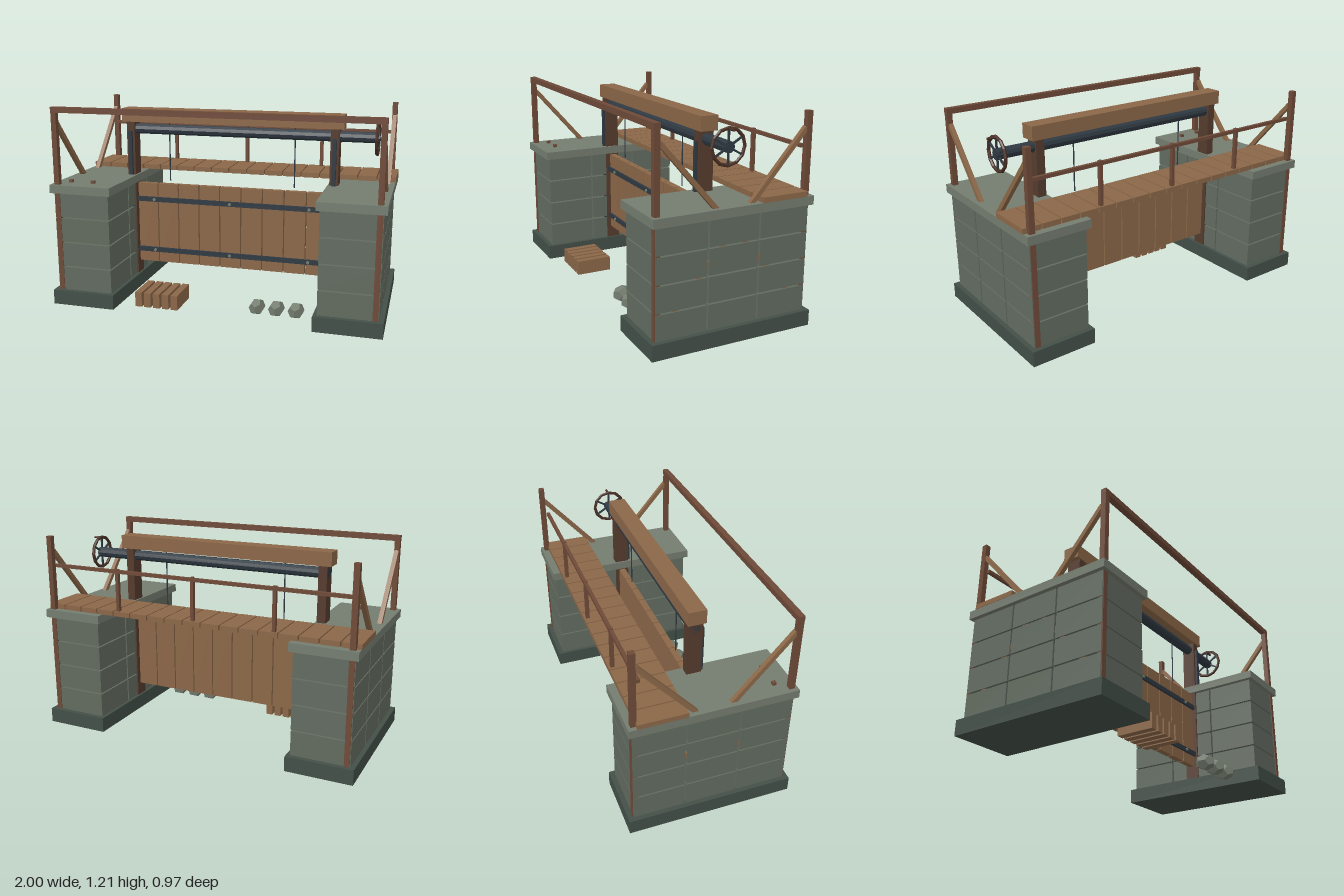
import * as THREE from 'three';

const mat = (color) => new THREE.MeshStandardMaterial({ color, flatShading: true });
const M = {
  wood: mat(0x8b6748), darkWood: mat(0x6e4a38), frameWood: mat(0x553b2d), rim: mat(0x4a3026),
  stone: mat(0x626b60), cap: mat(0x747c6f), base: mat(0x434f48), iron: mat(0x2f3942),
};

export function createModel() {
  const root = new THREE.Group();
  root.name = 'sluiceGate';

  const add = (name, geo, material, x = 0, y = 0, z = 0, parent = root) => {
    const m = new THREE.Mesh(geo, material);
    m.name = name;
    m.position.set(x, y, z);
    parent.add(m);
    return m;
  };
  // Box given by its minimum and maximum on each axis
  const box = (name, material, x0, x1, y0, y1, z0, z1, parent = root) =>
    add(name, new THREE.BoxGeometry(x1 - x0, y1 - y0, z1 - z0), material,
      (x0 + x1) / 2, (y0 + y1) / 2, (z0 + z1) / 2, parent);
  // Square bar between two points in a plane of constant x
  const bar = (name, material, x, [y0, z0], [y1, z1], t, parent = root) => {
    const m = add(name, new THREE.BoxGeometry(t, Math.hypot(y1 - y0, z1 - z0), t), material,
      x, (y0 + y1) / 2, (z0 + z1) / 2, parent);
    m.rotation.x = Math.atan2(z1 - z0, y1 - y0);
    return m;
  };

  // Stone piers with corner posts, braces and gate guides
  for (const s of [-1, 1]) {
    const pier = new THREE.Group();
    pier.name = s > 0 ? 'leftPier' : 'rightPier';
    root.add(pier);
    const sideBox = (name, material, a, b, ...rest) =>
      box(name, material, Math.min(s * a, s * b), Math.max(s * a, s * b), ...rest, pier);

    sideBox('pierBase', M.base, 0.605, 1, 0, 0.09, -0.485, 0.485);
    sideBox('pierCap', M.cap, 0.607, 0.993, 0.7, 0.75, -0.477, 0.477);
    for (let row = 0; row < 4; row++) {
      for (let col = -1; col <= 1; col++) {
        const y = 0.09 + row * 0.1535, z = col * 0.307;
        sideBox('stoneBlock', M.stone, 0.627, 0.973, y, y + 0.145, z - 0.148, z + 0.148);
      }
    }
    for (const f of [-1, 1]) {
      sideBox('cornerPost', M.darkWood, 0.937, 0.969, 0.05, 1.205,
        f > 0 ? 0.427 : -0.459, f > 0 ? 0.459 : -0.427);
      bar('brace', M.wood, s * 0.953, [1.117, f * 0.43], [0.2, -f * 0.372], 0.026, pier);
    }

    // Grooved guide post with iron strips
    sideBox('guidePost', M.frameWood, 0.618, 0.67, 0.05, 1.09, -0.042, 0.045);
    sideBox('guideStrip', M.iron, 0.632, 0.656, 0.09, 1.03, 0.045, 0.06);
  }

  // Front top rail
  box('topRail', M.darkWood, -0.97, 0.97, 1.18, 1.213, 0.425, 0.46);

  // Walkway planks and back railing
  const walkway = new THREE.Group();
  walkway.name = 'walkway';
  root.add(walkway);
  for (let i = 0; i < 17; i++) {
    const x = (i - 8) * 0.1175;
    box('deckPlank', M.wood, x - 0.055, x + 0.055, 0.75, 0.78, -0.432, -0.155, walkway);
  }
  box('handRail', M.darkWood, -0.95, 0.95, 1.01, 1.03, -0.421, -0.401, walkway);
  for (const x of [-0.5, 0, 0.5]) {
    box('railPost', M.darkWood, x - 0.01, x + 0.01, 0.78, 1.035, -0.421, -0.399, walkway);
  }

  // Plank gate with iron bands and bolts
  const gate = new THREE.Group();
  gate.name = 'gate';
  root.add(gate);
  for (let i = 0; i < 9; i++) {
    const x = (i - 4) * 0.137;
    box('gatePlank', M.wood, x - 0.065, x + 0.065, 0.172, 0.692, -0.02, 0.02, gate);
  }
  for (const y of [0.255, 0.59]) {
    box('gateBand', M.iron, -0.625, 0.625, y - 0.015, y + 0.015, 0.02, 0.034, gate);
    for (const x of [-0.5, 0, 0.5]) {
      const bolt = add('bolt', new THREE.CylinderGeometry(0.01, 0.01, 0.012, 8), M.cap, x, y, 0.036, gate);
      bolt.rotation.x = Math.PI / 2;
    }
  }

  // Head beam, winding axle and chains
  box('headBeam', M.wood, -0.697, 0.697, 1.087, 1.17, -0.052, 0.052);
  const axle = add('axle', new THREE.CylinderGeometry(0.032, 0.032, 1.57, 10), M.iron, 0.115, 1.04, 0);
  axle.rotation.z = Math.PI / 2;
  for (const x of [-0.4, 0.4]) {
    add('chain', new THREE.CylinderGeometry(0.004, 0.004, 0.375, 6), M.iron, x, 0.902, 0);
  }

  // Hand wheel
  const wheel = new THREE.Group();
  wheel.name = 'handWheel';
  wheel.position.set(0.888, 1.04, 0);
  root.add(wheel);
  add('wheelRim', new THREE.TorusGeometry(0.098, 0.01, 6, 12), M.rim, 0, 0, 0, wheel).rotation.y = Math.PI / 2;
  for (let i = 0; i < 3; i++) {
    const spoke = add('spoke', new THREE.BoxGeometry(0.01, 0.196, 0.01), M.iron, 0, 0, 0, wheel);
    spoke.rotation.x = (i * Math.PI) / 3;
  }
  const hub = add('hub', new THREE.CylinderGeometry(0.018, 0.018, 0.03, 8), M.iron, 0, 0, 0, wheel);
  hub.rotation.z = Math.PI / 2;
  const crank = add('crankHandle', new THREE.CylinderGeometry(0.008, 0.008, 0.055, 6), M.rim, 0.025, 0.094, 0, wheel);
  crank.rotation.z = Math.PI / 2;

  // Leaning tool handles sunk into the right pier
  for (const x of [-0.902, -0.76]) {
    bar('toolHandle', M.darkWood, x, [0.16, 0.422], [0.767, 0.367], 0.022);
  }

  // Spare boards and loose rocks in front
  for (let i = 0; i < 5; i++) {
    const x = -0.466 + i * 0.057;
    box('spareBoard', M.wood, x - 0.021, x + 0.021, 0.012, 0.102, 0.2, 0.42);
  }
  for (let i = 0; i < 3; i++) {
    const rock = add('rock', new THREE.DodecahedronGeometry(0.05), M.cap, 0.248 + i * 0.118, 0.046, 0.31);
    rock.scale.set(0.98, 1, 1.32);
  }
  return root;
}
